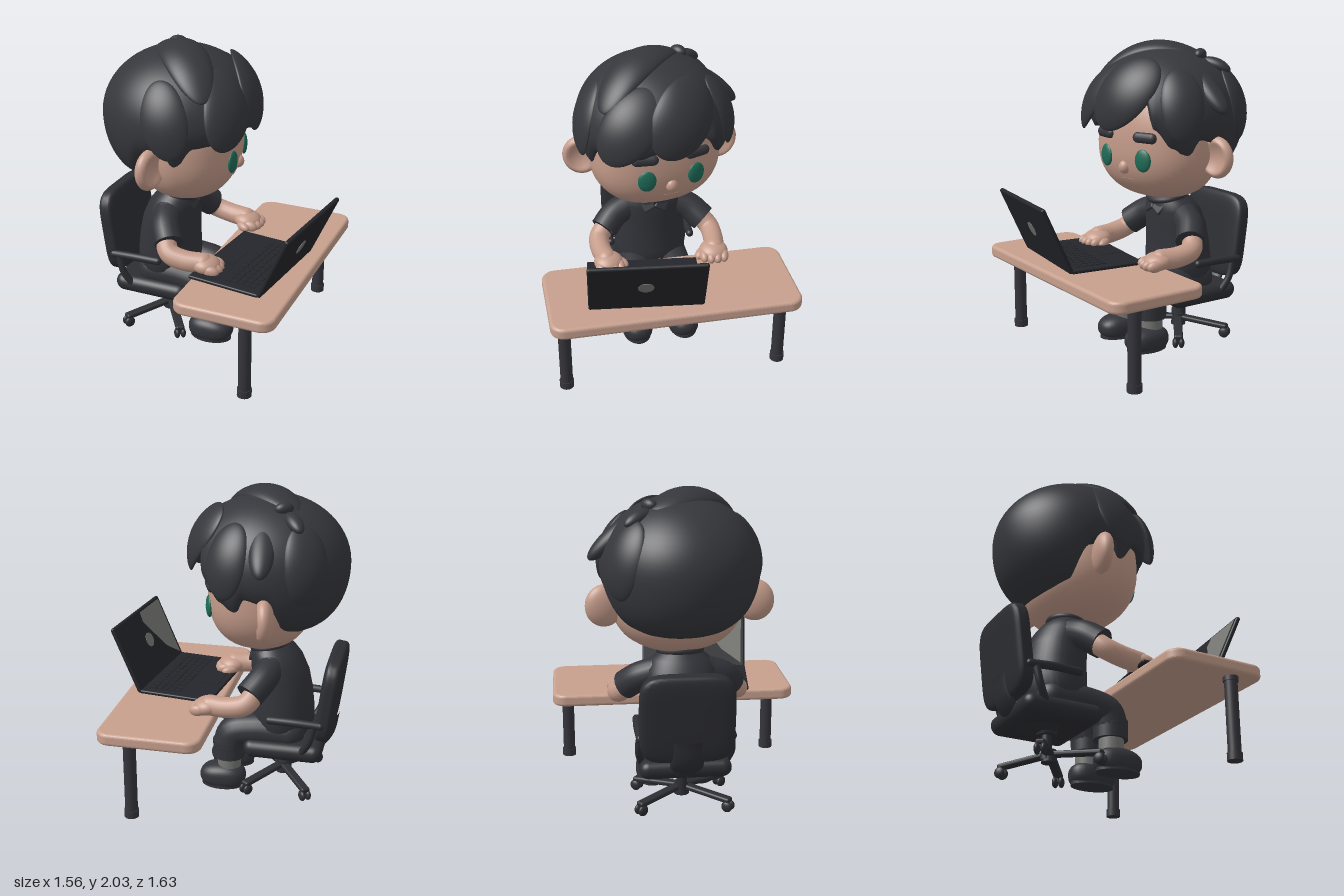
import * as THREE from 'three';
import { mergeVertices } from 'three/addons/utils/BufferGeometryUtils.js';
import { RoundedBoxGeometry } from 'three/addons/geometries/RoundedBoxGeometry.js';

const V = (x, y, z) => new THREE.Vector3(x, y, z);
const paint = (name, hex) => {
  const m = new THREE.MeshStandardMaterial({ color: hex });
  m.name = name;
  return m;
};

export function createModel() {
  const root = new THREE.Group();
  const skin = paint('skin', 0xc49b8a), wood = paint('wood', 0xc7a08e), hairMat = paint('hair', 0x36373c);
  const cloth = paint('cloth', 0x33343a), chairMat = paint('chair', 0x2d2e33), legMat = paint('metal', 0x35343b);
  const shell = paint('laptop shell', 0x25262b), grey = paint('grey', 0x777874), green = paint('eye green', 0x1f6b57);
  const lip = paint('lip', 0xa27c6c);
  hairMat.side = THREE.DoubleSide;

  // ---- helpers ----
  const add = (parent, name, geo, mat, pos = [0, 0, 0], scale = [1, 1, 1], rot = [0, 0, 0]) => {
    const m = new THREE.Mesh(geo, mat);
    m.name = name;
    m.position.set(...pos);
    m.scale.set(...scale);
    m.rotation.set(...rot);
    parent.add(m);
    return m;
  };
  const group = (parent, name, pos = [0, 0, 0], rot = [0, 0, 0]) => {
    const g = new THREE.Group();
    g.name = name;
    g.position.set(...pos);
    g.rotation.set(...rot);
    parent.add(g);
    return g;
  };
  const ball = new THREE.SphereGeometry(1, 32, 24);
  const cyl = (r1, r2, h) => new THREE.CylinderGeometry(r1, r2, h, 28);
  const tube = (pts, r) => new THREE.TubeGeometry(new THREE.CatmullRomCurve3(pts.map(p => V(...p))), 28, r, 18);
  // tube with rounded ends
  const limb = (parent, name, pts, r, mat) => {
    add(parent, name, tube(pts, r), mat);
    for (const p of [pts[0], pts[pts.length - 1]]) add(parent, name + 'End', ball, mat, p, [r, r, r]);
  };
  const warp = (geo, rule) => {
    let g = geo.clone();
    g.deleteAttribute('uv');
    g.deleteAttribute('normal');
    g = mergeVertices(g, 1e-4);
    const p = g.attributes.position, v = V(0, 0, 0);
    for (let i = 0; i < p.count; i++) {
      rule(v.fromBufferAttribute(p, i));
      p.setXYZ(i, v.x, v.y, v.z);
    }
    g.computeVertexNormals();
    return g;
  };
  // closed rings listed from top to bottom
  const rings = (rows, cols, at) => {
    const pos = [], idx = [];
    for (let i = 0; i < rows; i++) for (let j = 0; j < cols; j++) {
      pos.push(...at(i, j / cols * Math.PI * 2));
      if (i === rows - 1) continue;
      const a = i * cols + j, b = i * cols + (j + 1) % cols;
      idx.push(a, b, a + cols, b, b + cols, a + cols);
    }
    const g = new THREE.BufferGeometry();
    g.setAttribute('position', new THREE.Float32BufferAttribute(pos, 3));
    g.setIndex(idx);
    g.computeVertexNormals();
    return g;
  };
  const boxy = (v, p) => v.multiplyScalar(1 / Math.pow(Math.abs(v.x) ** p + Math.abs(v.y) ** p + Math.abs(v.z) ** p, 1 / p));

  // ---- head, slightly turned ----
  const head = group(root, 'head', [-0.22, 1.36, 0], [0, 0.17, 0]);
  add(head, 'face', warp(new THREE.SphereGeometry(1, 56, 40), v => {
    boxy(v, 2.4);
    if (v.x < 0) v.z *= 1 + 0.2 * v.x;
    v.set(v.x * (v.x > 0 ? 0.36 : 0.33), v.y * (v.y > 0 ? 0.45 : 0.365), v.z * 0.44);
  }), skin);
  const earGeo = warp(ball, v => {
    if (v.x > 0) v.x -= 0.9 * Math.max(0, 1 - (v.y * v.y + v.z * v.z) / 0.6);
  });
  for (const s of [1, -1]) {
    add(root, 'ear', earGeo, skin, [-0.285 + s * 0.025, 1.31, s * 0.475], [0.065, 0.135, 0.125], [0, s * -0.2, 0]);
    add(head, 'eye', ball, green, [0.342, -0.07, s * 0.168], [0.022, 0.073, 0.06], [0, s * -0.2, 0]);
    add(head, 'eyebrow', new THREE.CapsuleGeometry(0.035, 0.105, 8, 16), hairMat,
      [0.335, 0.077, s * 0.178], [0.8, 1, 1], [Math.PI / 2, 0, s * 0.2]);
  }
  add(head, 'nose', ball, skin, [0.34, -0.13, 0], [0.04, 0.045, 0.04]);
  add(head, 'mouth', new THREE.CapsuleGeometry(0.004, 0.1, 4, 8), lip, [0.316, -0.21, -0.01], [1, 1, 1], [Math.PI / 2, 0, 0]);

  // ---- hair: a shell trimmed by a hairline (angle from the face, height) ----
  const line = [[-180, 1.13], [-140, 1.13], [-118, 1.17], [-98, 1.4], [-82, 1.43], [-73, 1.31], [-60, 1.38], [-46, 1.5],
    [-38, 1.69], [-25, 1.62], [-10, 1.54], [0, 1.5], [8, 1.52], [20, 1.48], [33, 1.5], [45, 1.47], [58, 1.46],
    [73, 1.31], [82, 1.43], [98, 1.4], [118, 1.17], [140, 1.13], [180, 1.13]];
  const hairline = a => {
    let d = a * 180 / Math.PI;
    if (d > 180) d -= 360;
    const k = Math.max(1, line.findIndex(p => p[0] >= d));
    const [a0, y0] = line[k - 1], [a1, y1] = line[k];
    return y0 + (y1 - y0) * THREE.MathUtils.smoothstep(d, a0, a1);
  };
  const hair = group(root, 'hair');
  const N = 30, hc = V(-0.25, 1.55, 0), hr = V(0.51, 0.435, 0.505);
  add(hair, 'hairCap', rings(N + 5, 160, (i, a) => {
    const low = Math.asin(Math.max(-0.97, (hairline(a) - hc.y) / hr.y)), t = Math.min(1, i / N);
    const e = Math.PI / 2 + (low - Math.PI / 2) * t;
    const c = Math.pow(Math.max(0, Math.cos(e)), e < 0 ? 0.58 : 1);
    const k = i <= N ? 1 - 0.05 * Math.max(0, (t - 0.85) / 0.15) ** 2 : 0.95 - 0.09 * (i - N);
    const back = Math.cos(a) < 0 ? 0.522 : hr.x;
    return [hc.x + back * c * k * Math.cos(a), hc.y + hr.y * Math.sin(e), hr.z * c * k * Math.sin(a)];
  }), hairMat);
  // leaf-shaped locks bent over the shell: start, end, width, thickness, bend, lift
  const locks = [
    [[-0.45, 1.93, -0.19], [0.05, 1.76, 0.36], 0.3, 0.1, 0.95, 0],
    [[-0.27, 1.87, -0.26], [-0.3, 1.6, -0.57], 0.16, 0.12, 0, 0],
    [[-0.51, 1.85, -0.36], [-0.4, 1.92, -0.2], 0.1, 0.08, 0.6, 0.015],
    [[-0.43, 1.95, -0.17], [-0.33, 1.95, -0.24], 0.08, 0.08, 0.5, 0.015],
    [[-0.02, 1.9, -0.25], [0.24, 1.5, 0.04], 0.4, 0.08, 0.95, -0.01],
    [[0.02, 1.88, -0.02], [0.13, 1.46, 0.35], 0.36, 0.08, 0.95, -0.01],
    [[-0.12, 1.87, -0.3], [-0.06, 1.42, -0.45], 0.28, 0.08, 0.95, -0.01],
    [[-0.25, 1.86, 0.34], [-0.1, 1.4, 0.47], 0.3, 0.06, 0.95, -0.01],
    [[-0.5, 1.87, -0.28], [-0.55, 1.4, -0.4], 0.3, 0.08, 0.95, -0.01]];
  for (const [p, q, w, t, bend, lift] of locks) {
    const a = V(...p), b = V(...q), mid = a.clone().add(b).multiplyScalar(0.5);
    const d = b.clone().sub(a), len = d.length();
    d.normalize();
    const out = mid.clone().sub(hc), n = out.clone().projectOnPlane(d).normalize();
    if (bend) mid.copy(hc).addScaledVector(out, (1 + lift) / out.clone().divide(hr).length());
    const m = add(hair, 'hairLock', warp(ball, v => {
      v.set(v.x * w / 2, v.y * len / 2, v.z * t / 2);
      v.z -= bend * (v.x * v.x + v.y * v.y);
    }), hairMat, mid.toArray());
    m.quaternion.setFromRotationMatrix(new THREE.Matrix4().makeBasis(d.clone().cross(n), d, n));
  }

  // ---- body: height, centre x, half depth, half width ----
  const torso = [[1.04, -0.27, 0.085, 0.1], [1.0, -0.28, 0.115, 0.13], [0.96, -0.295, 0.145, 0.185], [0.9, -0.315, 0.17, 0.22],
    [0.8, -0.34, 0.19, 0.23], [0.68, -0.355, 0.2, 0.24], [0.55, -0.36, 0.21, 0.25], [0.46, -0.36, 0.21, 0.25], [0.38, -0.36, 0.17, 0.21]];
  add(root, 'shirt', rings(torso.length, 40, (i, a) => {
    const [y, x, rx, rz] = torso[i];
    return [x + rx * Math.cos(a), y, rz * Math.sin(a)];
  }), cloth);
  add(root, 'neck', cyl(0.085, 0.085, 0.14), skin, [-0.25, 1.02, 0]);
  add(root, 'collar', new THREE.TorusGeometry(0.115, 0.025, 12, 32), cloth, [-0.265, 0.995, 0], [1, 1.1, 1], [Math.PI / 2, -0.2, 0]);
  for (const s of [1, -1]) {
    add(root, 'collarFlap', new RoundedBoxGeometry(0.025, 0.09, 0.09, 3, 0.012), cloth, [-0.165, 0.93, s * 0.05], [1, 1, 1], [s * 0.5, 0, 0.5]);
    // arms
    const cuffEnd = [-0.2, 0.75, s * 0.35];
    add(root, 'sleeve', tube([[-0.3, 0.87, s * 0.15], [-0.265, 0.825, s * 0.26], cuffEnd], 0.095), cloth);
    add(root, 'shoulder', ball, cloth, [-0.3, 0.87, s * 0.15], [0.095, 0.095, 0.095]);
    add(root, 'sleeveOpening', new THREE.CircleGeometry(0.095, 24), cloth, cuffEnd).lookAt(-0.13, 0.67, s * 0.45);
    limb(root, 'forearm', [[-0.24, 0.77, s * 0.32], [-0.18, 0.7, s * 0.385], [-0.07, 0.672, s * 0.39], [0.05, 0.668, s * 0.37]], 0.068, skin);
    const hand = group(root, 'hand', [0.07, 0.66, s * 0.36], [0, s * 0.12, -0.12]);
    add(hand, 'palm', ball, skin, [0, 0, 0], [0.095, 0.06, 0.097]);
    for (let f = 0; f < 4; f++) {
      add(hand, 'finger', ball, skin, [0.065 - Math.abs(f - 1.5) * 0.012, -0.008, (f - 1.5) * 0.044], [0.058, 0.038, 0.032]);
    }
    add(hand, 'thumb', ball, skin, [0.01, -0.015, s * -0.085], [0.06, 0.032, 0.035], [0, s * 0.5, 0]);
    // legs and shoes
    limb(root, 'trouserLeg', [[-0.42, 0.42, s * 0.135], [-0.2, 0.42, s * 0.14], [-0.06, 0.385, s * 0.145], [-0.025, 0.3, s * 0.148]], 0.11, cloth);
    add(root, 'cuff', cyl(0.11, 0.108, 0.12), cloth, [-0.025, 0.272, s * 0.148]);
    add(root, 'sock', cyl(0.078, 0.078, 0.14), grey, [-0.025, 0.17, s * 0.155]);
    add(root, 'shoe', warp(ball, v => {
      boxy(v, 2.5);
      v.y = Math.max(v.y, -0.75) * (v.x > 0 ? 1 - 0.12 * v.x : 1);
    }), cloth, [0.015, 0.068, s * 0.165], [0.155, 0.09, 0.105]);
    add(root, 'sole', cyl(1, 1, 0.022), cloth, [0.015, 0.011, s * 0.165], [0.145, 1, 0.097]);
  }

  // ---- chair ----
  const chair = group(root, 'chair');
  add(chair, 'seat', warp(new RoundedBoxGeometry(0.52, 0.12, 0.58, 6, 0.059), v => {
    v.y += 0.25 * v.x * v.x;
  }), chairMat, [-0.4, 0.312, 0]);
  add(chair, 'backrest', warp(new THREE.SphereGeometry(1, 48, 36), v => {
    boxy(v, 5);
    v.set(v.x * 0.06, v.y * 0.29, v.z * 0.295);
  }), chairMat, [-0.685, 0.685, 0], [1, 1, 1], [0, 0, 0.13]);
  add(chair, 'backBracket', tube([[-0.71, 0.55, 0], [-0.67, 0.38, 0], [-0.57, 0.29, 0], [-0.35, 0.27, 0]], 0.035), chairMat, [0, 0, 0], [1, 1, 3]);
  for (const s of [1, -1]) {
    limb(chair, 'armrest', [[-0.65, 0.55, s * 0.285], [-0.48, 0.56, s * 0.29], [-0.32, 0.56, s * 0.285]], 0.026, chairMat);
    limb(chair, 'armrestPost', [[-0.61, 0.55, s * 0.285], [-0.58, 0.43, s * 0.29], [-0.52, 0.32, s * 0.26]], 0.024, chairMat);
  }
  add(chair, 'gasLift', cyl(0.03, 0.038, 0.2), chairMat, [-0.39, 0.17, 0]);
  add(chair, 'liftCollar', cyl(0.07, 0.06, 0.04), chairMat, [-0.39, 0.245, 0]);
  add(chair, 'hub', cyl(0.045, 0.05, 0.08), chairMat, [-0.37, 0.095, 0]);
  for (const sx of [1, -1]) for (const sz of [1, -1]) {
    const spoke = group(chair, 'spoke', [-0.365, 0, 0], [0, Math.atan2(-sz * 0.28, sx * 0.2), 0]);
    add(spoke, 'spokeBar', new RoundedBoxGeometry(0.36, 0.035, 0.06, 3, 0.014), chairMat, [0.18, 0.092, 0], [1, 1, 1], [0, 0, -0.1]);
    add(spoke, 'casterStem', cyl(0.016, 0.016, 0.05), chairMat, [0.335, 0.06, 0]);
    for (const s of [1, -1]) add(spoke, 'caster', ball, chairMat, [0.34, 0.036, s * 0.02], [0.036, 0.036, 0.02]);
  }

  // ---- table ----
  const hx = 0.315, hz = 0.795, r = 0.07, top = new THREE.Shape();
  top.absarc(hx - r, hz - r, r, 0, Math.PI / 2);
  top.absarc(-hx + r, hz - r, r, Math.PI / 2, Math.PI);
  top.absarc(-hx + r, -hz + r, r, Math.PI, Math.PI * 1.5);
  top.absarc(hx - r, -hz + r, r, Math.PI * 1.5, Math.PI * 2);
  add(root, 'tableTop', new THREE.ExtrudeGeometry(top, { depth: 0.036, bevelThickness: 0.022, bevelSize: 0.022, bevelSegments: 5, curveSegments: 10 }),
    wood, [0.353, 0.588, -0.003], [1, 1, 1], [Math.PI / 2, 0, 0]);
  for (const s of [1, -1]) {
    const leg = group(root, 'tableLeg', [0.488, 0, s * 0.72]);
    add(leg, 'legPost', cyl(0.041, 0.041, 0.5), legMat, [0, 0.28, 0]);
    add(leg, 'legCollar', cyl(0.048, 0.048, 0.03), legMat, [0, 0.515, 0]);
    add(leg, 'foot', cyl(0.047, 0.047, 0.05), legMat, [0, 0.025, 0]);
  }

  // ---- laptop, hinge at the group origin ----
  const laptop = group(root, 'laptop', [0.543, 0.61, 0.19], [0, -0.117, 0]);
  add(laptop, 'laptopBase', new RoundedBoxGeometry(0.5, 0.024, 0.74, 3, 0.01), shell, [-0.25, 0.012, 0]);
  for (let row = 0; row < 5; row++) for (let k = 0; k < 12; k++) {
    add(laptop, 'key', new THREE.BoxGeometry(0.036, 0.005, 0.044), shell, [-0.07 - row * 0.044, 0.026, (k - 5.5) * 0.052]);
  }
  add(laptop, 'touchpad', new THREE.BoxGeometry(0.14, 0.003, 0.22), shell, [-0.39, 0.025, 0]);
  const lid = group(laptop, 'lid', [0, 0.005, 0], [0, 0, -0.42]);
  add(lid, 'lidPanel', new RoundedBoxGeometry(0.03, 0.472, 0.74, 4, 0.013), shell, [0, 0.236, 0]);
  const glare = new THREE.Shape([[0.03, 0.45], [0.02, 0.38], [0.12, 0.24], [0.2, 0.13], [0.34, 0.03], [0.345, 0.45]].map(p => new THREE.Vector2(...p)));
  add(lid, 'screenGlare', new THREE.ShapeGeometry(glare), grey, [-0.017, 0, 0], [1, 1, 1], [0, -Math.PI / 2, 0]);
  for (const s of [1, -1]) {
    add(lid, 'lidDisc', cyl(0.05, 0.05, 0.004), grey, [s * 0.016, 0.25, 0.01], [1, 1, 1], [0, 0, Math.PI / 2]);
  }
  return root;
}
